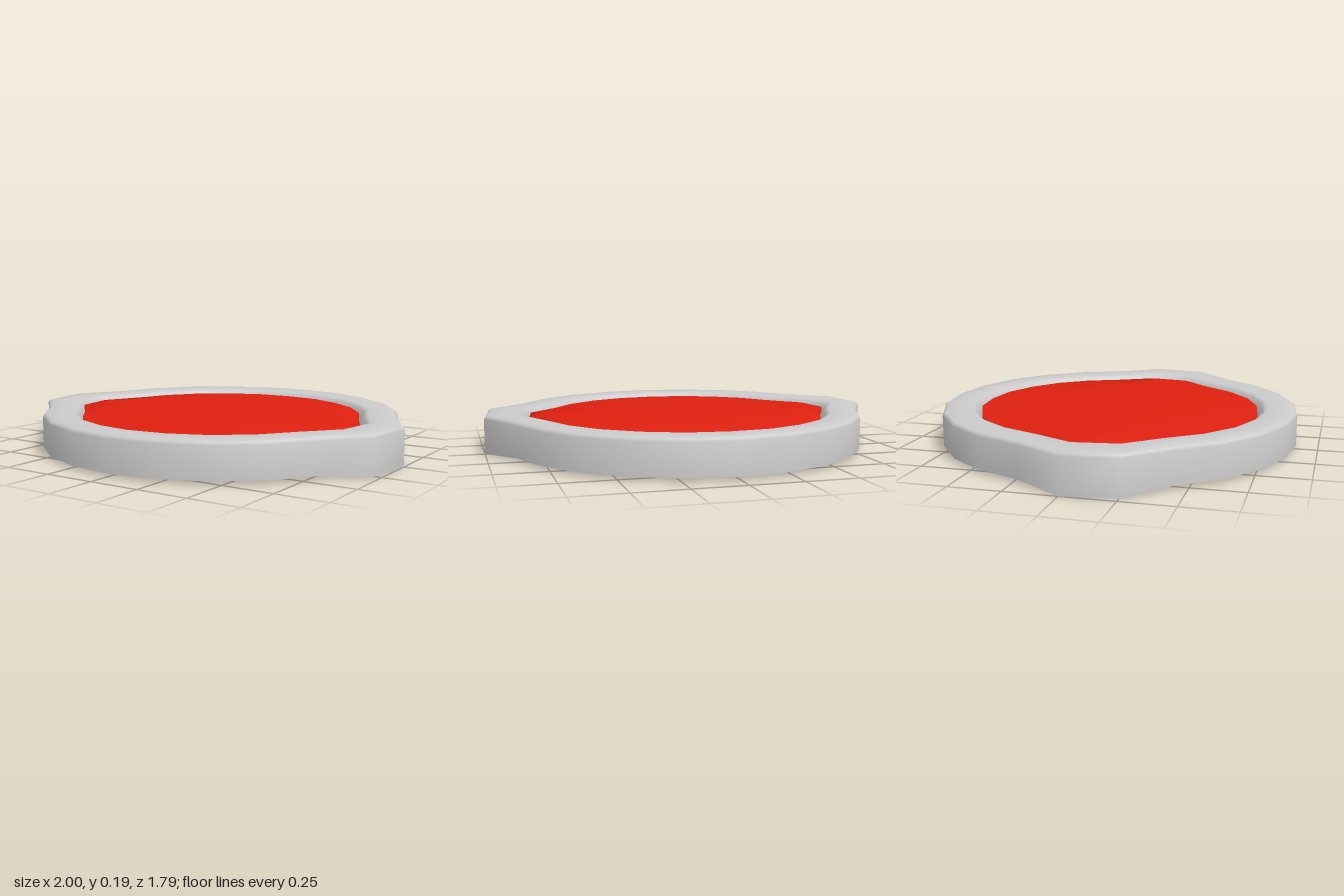
import * as THREE from 'three';
import { toCreasedNormals } from 'three/addons/utils/BufferGeometryUtils.js';

// Half outlines [x, z] from back to front, mirrored into 24-point loops
const OUTER = [[0, -0.9], [0.23, -0.87], [0.45, -0.78], [0.64, -0.635], [0.78, -0.45], [0.87, -0.23], [1, 0],
  [0.965, 0.26], [0.78, 0.445], [0.64, 0.63], [0.45, 0.775], [0.23, 0.865], [0, 0.895]];
const INNER = [[0, -0.735], [0.19, -0.715], [0.365, -0.64], [0.52, -0.525], [0.635, -0.375], [0.71, -0.2], [0.815, 0],
  [0.785, 0.21], [0.635, 0.365], [0.52, 0.515], [0.365, 0.635], [0.19, 0.705], [0, 0.73]];
const mirror = (half) => [...half, ...half.slice(1, -1).reverse().map(([x, z]) => [-x, z])];
const outer = mirror(OUTER);
const inner = mirror(INNER);
const N = outer.length;

// Joins successive loops of points with quads, smooth all over
function loft(loops) {
  const index = [];
  for (let j = 0; j < loops.length - 1; j++) {
    for (let i = 0; i < N; i++) {
      const k = (i + 1) % N;
      const a = j * N + i, b = j * N + k, c = a + N, d = b + N;
      index.push(a, c, b, b, c, d);
    }
  }
  const geo = new THREE.BufferGeometry();
  geo.setAttribute('position', new THREE.Float32BufferAttribute(loops.flat(2), 3));
  geo.setIndex(index);
  geo.computeVertexNormals();
  return geo;
}

// Rim section: [blend from outer to inner outline, height]
const SECTION = [[0, 0.015], [0, 0.168], [0.03, 0.179], [0.1, 0.186], [0.5, 0.187], [0.86, 0.186], [0.96, 0.182],
  [1, 0.174], [1.17, 0.145], [1.18, 0.092], [0, 0.015]];

function rimGeometry() {
  const loops = SECTION.map(([t, y]) => outer.map(([x, z], i) => {
    let h = y;
    if (Math.abs(x) > 0.95) h += y < 0.05 ? -0.015 : 0.003; // side lobes are a little taller
    return [x + (inner[i][0] - x) * t, h, z + (inner[i][1] - z) * t];
  }));
  return toCreasedNormals(loft(loops), 1.2);
}

// Inner outline scaled by s at height y; flat caps close onto the x axis line
const ring = (s, y) => inner.map(([x, z]) => [x * s, y, z * s]);
const axis = (y) => inner.map(([x]) => [x * 0.95, y, 0]);

export function createModel() {
  const group = new THREE.Group();
  const add = (name, geometry, color) => {
    const mesh = new THREE.Mesh(geometry, new THREE.MeshStandardMaterial({ color }));
    mesh.name = name;
    group.add(mesh);
  };

  // Rounded, lobed frame with a sloping underside
  add('rim', rimGeometry(), 0xcccccc);

  // Flat red panel, softly shaded over its edge
  add('panel', loft([ring(0.965, 0.1), ring(0.96, 0.167), axis(0.168)]), 0xe02010);

  // Flat grey underside
  add('underside', loft([axis(0.09), ring(0.962, 0.091), ring(0.965, 0.15)]), 0xcccccc);
  return group;
}
